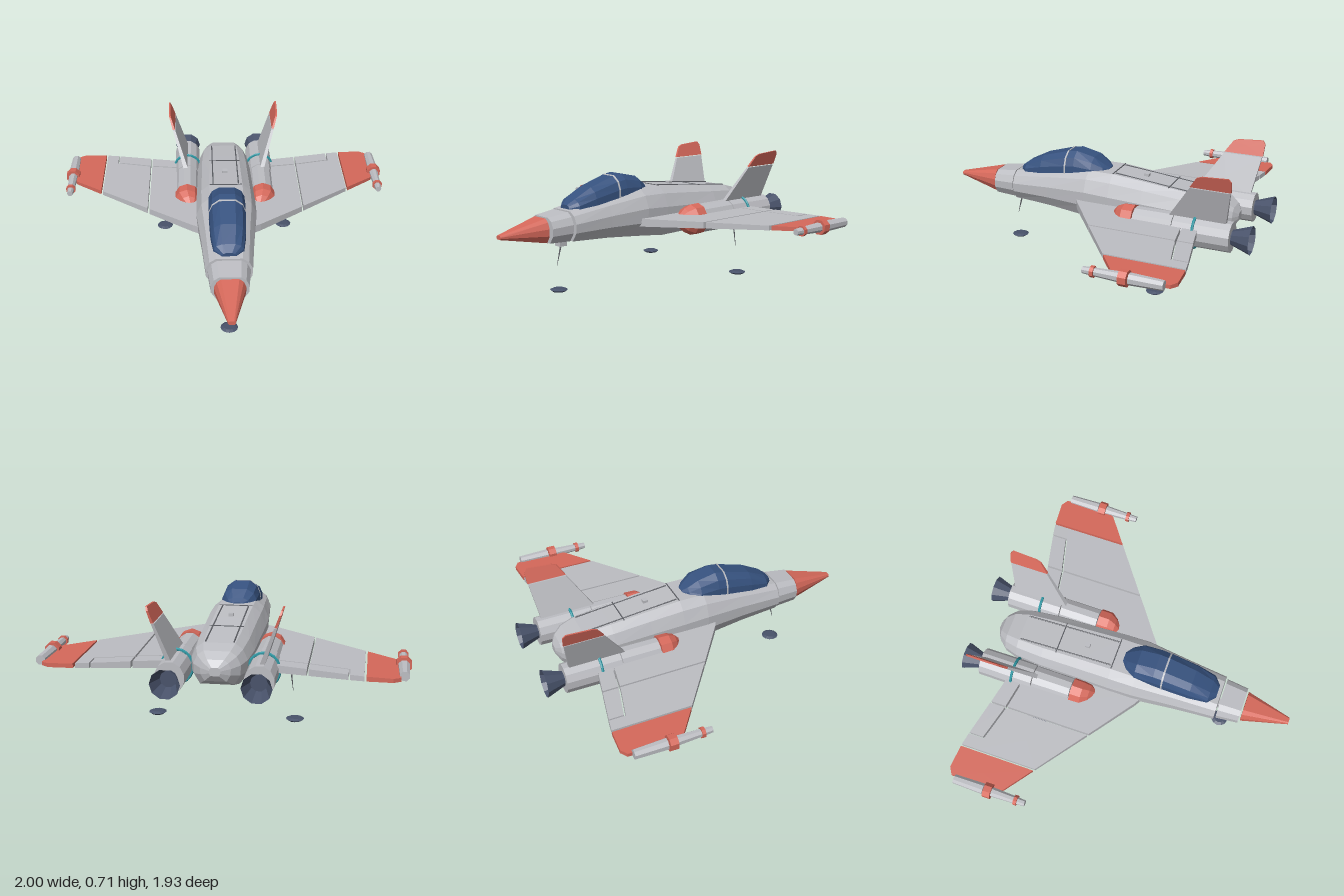
import * as THREE from 'three';

const mat = (name, color) => {
  const m = new THREE.MeshStandardMaterial({ color, flatShading: true });
  m.name = name;
  return m;
};

export function createModel() {
  const root = new THREE.Group();
  root.name = 'jetFighter';
  const grey = mat('hullGrey', 0xbcbdc2);
  const red = mat('trimRed', 0xd5685a);
  const blue = mat('canopyBlue', 0x36527f);
  const dark = mat('nozzleSlate', 0x48526a);
  const teal = mat('pipeTeal', 0x2f97a3);
  const line = mat('panelLine', 0x5d5f65);

  const add = (geo, material, name) => {
    const m = new THREE.Mesh(geo, material);
    m.name = name;
    root.add(m);
    return m;
  };

  // closed skin through rings of equal length, capped by fans, always facing out
  const loft = (rings, material, name) => {
    const tris = [], n = rings[0].length;
    const mid = r => [0, 1, 2].map(k => r.reduce((a, p) => a + p[k], 0) / n);
    const first = rings[0], last = rings[rings.length - 1];
    const c0 = mid(first), c1 = mid(last);
    for (let i = 0; i < n; i++) {
      const j = (i + 1) % n;
      tris.push([c0, first[i], first[j]], [c1, last[j], last[i]]);
      for (let k = 0; k < rings.length - 1; k++) {
        const a = rings[k], b = rings[k + 1];
        tris.push([a[i], b[i], a[j]], [a[j], b[i], b[j]]);
      }
    }
    const v = p => new THREE.Vector3(...p).sub(new THREE.Vector3(...c0));
    const volume = tris.reduce((s, t) => s + v(t[0]).dot(v(t[1]).cross(v(t[2]))), 0);
    if (volume < 0) tris.forEach(t => t.reverse());
    const geo = new THREE.BufferGeometry();
    geo.setAttribute('position', new THREE.Float32BufferAttribute(tris.flat(2), 3));
    geo.computeVertexNormals();
    return add(geo, material, name);
  };

  // tapered cylinder lying along z
  const tube = (x, y, z0, z1, rFront, rBack, sides, material, name, sy = 1, open = false) => {
    const geo = new THREE.CylinderGeometry(rFront, rBack, z0 - z1, sides, 1, open, Math.PI / sides);
    geo.rotateX(Math.PI / 2).scale(1, sy, 1).translate(x, y, (z0 + z1) / 2);
    return add(geo, material, name);
  };

  const box = (w, h, d, x, y, z, material, name) =>
    add(new THREE.BoxGeometry(w, h, d).translate(x, y, z), material, name);

  // thin bar from a to b
  const bar = (a, b, r0, r1, material, name) => {
    const A = new THREE.Vector3(...a), B = new THREE.Vector3(...b);
    const m = add(new THREE.CylinderGeometry(r1, r0, A.distanceTo(B), 6), material, name);
    m.position.copy(A).add(B).multiplyScalar(0.5);
    m.quaternion.setFromUnitVectors(new THREE.Vector3(0, 1, 0), B.sub(A).normalize());
  };

  // fuselage cross-section: half width, bottom and top
  const hull = ([z, w, yb, yt]) => {
    const h = yt - yb;
    const half = [[0.56 * w, yt], [0.83 * w, yb + 0.86 * h], [w, yb + 0.6 * h],
      [0.98 * w, yb + 0.3 * h], [0.72 * w, yb]];
    return [...half.map(([x, y]) => [x, y, z]), ...half.reverse().map(([x, y]) => [-x, y, z])];
  };
  loft([[0.96, 0.02, 0.35, 0.372], [0.69, 0.087, 0.302, 0.436]].map(hull), red, 'noseCone');
  loft([[0.68, 0.105, 0.3, 0.44], [0.55, 0.118, 0.297, 0.456]].map(hull), grey, 'noseCollar');
  loft([[0.54, 0.13, 0.295, 0.46], [0.3, 0.15, 0.285, 0.5], [0.05, 0.176, 0.265, 0.54],
    [-0.1, 0.176, 0.248, 0.54], [-0.3, 0.17, 0.25, 0.522], [-0.52, 0.165, 0.255, 0.5],
    [-0.68, 0.15, 0.265, 0.483], [-0.76, 0.125, 0.283, 0.462], [-0.81, 0.08, 0.315, 0.43],
    [-0.835, 0.03, 0.35, 0.395]].map(hull), grey, 'fuselage');

  // canopy in two panes with a frame between
  const dome = ([z, w, yb, yt], grow = 0) => {
    const h = yt - yb + grow, W = w + grow;
    const half = [[W, yb], [0.97 * W, yb + 0.5 * h], [0.8 * W, yb + 0.8 * h], [0.42 * W, yb + h]];
    return [...half.map(([x, y]) => [x, y, z]), ...half.reverse().map(([x, y]) => [-x, y, z])];
  };
  loft([[0.52, 0.04, 0.45, 0.485], [0.48, 0.085, 0.45, 0.515], [0.37, 0.1, 0.455, 0.572],
    [0.21, 0.107, 0.47, 0.62]].map(s => dome(s)), blue, 'windscreen');
  loft([[0.21, 0.107, 0.47, 0.62], [0.2, 0.107, 0.47, 0.623]].map(s => dome(s, 0.002)), grey, 'canopyFrame');
  loft([[0.2, 0.107, 0.47, 0.622], [0.15, 0.108, 0.475, 0.63], [0.04, 0.106, 0.485, 0.606],
    [-0.02, 0.075, 0.5, 0.565], [-0.05, 0.035, 0.52, 0.545]].map(s => dome(s)), blue, 'canopy');

  // seams and a small sensor on the spine
  for (const x of [-0.075, 0.075])
    bar([x, 0.541, -0.11], [x, 0.486, -0.67], 0.004, 0.004, line, 'spineSeam');
  for (const [z, y] of [[-0.1, 0.54], [-0.44, 0.508]])
    box(0.19, 0.006, 0.006, 0, y, z, line, 'crossSeam');
  box(0.028, 0.02, 0.028, 0, 0.53, -0.275, grey, 'sensor');

  // wing panels as [x, z] outlines, separated by narrow gaps
  const panels = [
    ['innerWing', grey, [[0.13, 0.12], [0.2, 0.08], [0.46, -0.11], [0.46, -0.615], [0.13, -0.56]]],
    ['innerFlap', grey, [[0.22, -0.585], [0.46, -0.625], [0.46, -0.715], [0.22, -0.665]]],
    ['midWing', grey, [[0.47, -0.118], [0.755, -0.328], [0.755, -0.69], [0.47, -0.617]]],
    ['outerFlap', grey, [[0.47, -0.627], [0.675, -0.679], [0.675, -0.763], [0.47, -0.718]]],
    ['wingCorner', grey, [[0.683, -0.671], [0.755, -0.69], [0.755, -0.778], [0.683, -0.765]]],
    ['wingTip', red, [[0.766, -0.336], [0.925, -0.453], [0.945, -0.485], [0.94, -0.765],
      [0.9, -0.79], [0.766, -0.78]]]];

  for (const s of [1, -1]) {
    const wingRing = (outline, d) => outline.map(([x, z]) => [s * x, 0.354 + d * (0.026 - 0.017 * x), z]);
    for (const [name, m, outline] of panels)
      loft([wingRing(outline, 1), wingRing(outline, -1)], m, name);

    // wingtip missile
    const px = s * 0.957, py = 0.364;
    tube(px, py, -0.56, -0.74, 0.032, 0.027, 8, grey, 'missileBody');
    tube(px, py, -0.51, -0.555, 0.044, 0.044, 8, red, 'missileBand');
    tube(px, py, -0.375, -0.51, 0.022, 0.028, 8, grey, 'missileFront');
    tube(px, py, -0.355, -0.375, 0.03, 0.03, 8, red, 'missileRing');
    tube(px, py, -0.31, -0.355, 0.018, 0.021, 8, grey, 'missileTip');

    // engine nacelle from intake to nozzle
    const ex = s * 0.232, ey = 0.338;
    const octo = (z, r, dx = 0) => Array.from({ length: 10 }, (_, i) => {
      const a = (i + 0.5) * Math.PI / 5;
      return [ex - s * dx + r * Math.cos(a), ey + 1.14 * r * Math.sin(a), z];
    });
    loft([octo(-0.16, 0.032, 0.02), octo(-0.19, 0.062, 0.01), octo(-0.23, 0.08), octo(-0.295, 0.082)],
      red, 'intake');
    tube(ex, ey, -0.3, -0.53, 0.075, 0.077, 12, grey, 'engineFront', 1.14);
    tube(ex, ey, -0.535, -0.86, 0.082, 0.08, 12, grey, 'engineRear', 1.08);
    const nozzle = tube(ex, ey, -0.855, -0.968, 0.04, 0.08, 10, dark, 'nozzle', 1, true);
    nozzle.material.side = THREE.DoubleSide;
    tube(ex, ey, -0.856, -0.875, 0.042, 0.045, 10, dark, 'nozzleThroat');
    add(new THREE.TorusGeometry(0.084, 0.008, 6, 20).scale(1, 1.1, 1).translate(ex, ey, -0.655),
      teal, 'coolantPipe');

    // canted tail fin with coloured top, outline as [y, z]
    const finRing = (outline, d) => outline.map(([y, z]) =>
      [s * (0.236 + (y - 0.4) * 0.345) + d * (0.014 - 0.03 * (y - 0.4)), y, z]);
    for (const [name, m, o] of [
      ['tailFin', grey, [[0.4, -0.49], [0.435, -0.515], [0.62, -0.637], [0.62, -0.862], [0.4, -0.825]]],
      ['finTop', red, [[0.625, -0.637], [0.688, -0.68], [0.7, -0.71], [0.71, -0.855],
        [0.69, -0.87], [0.625, -0.866]]]])
      loft([finRing(o, 1), finRing(o, -1)], m, name);

    // main landing gear
    box(0.045, 0.045, 0.05, s * 0.345, 0.318, -0.48, grey, 'gearMount');
    bar([s * 0.355, 0.31, -0.47], [s * 0.372, 0.17, -0.475], 0.006, 0.001, line, 'gearStrut');
  }

  // nose gear and flat landing pads
  box(0.045, 0.045, 0.05, 0, 0.28, 0.55, grey, 'noseGearMount');
  bar([0, 0.27, 0.55], [0, 0.15, 0.58], 0.006, 0.001, line, 'noseGearStrut');
  for (const [x, z] of [[0, 0.57], [0.385, -0.48], [-0.385, -0.48]]) {
    add(new THREE.CylinderGeometry(0.032, 0.05, 0.008, 12).translate(x, 0.014, z), dark, 'landingPad');
    add(new THREE.CylinderGeometry(0.05, 0.036, 0.01, 12).translate(x, 0.005, z), dark, 'landingPadBase');
  }
  return root;
}
